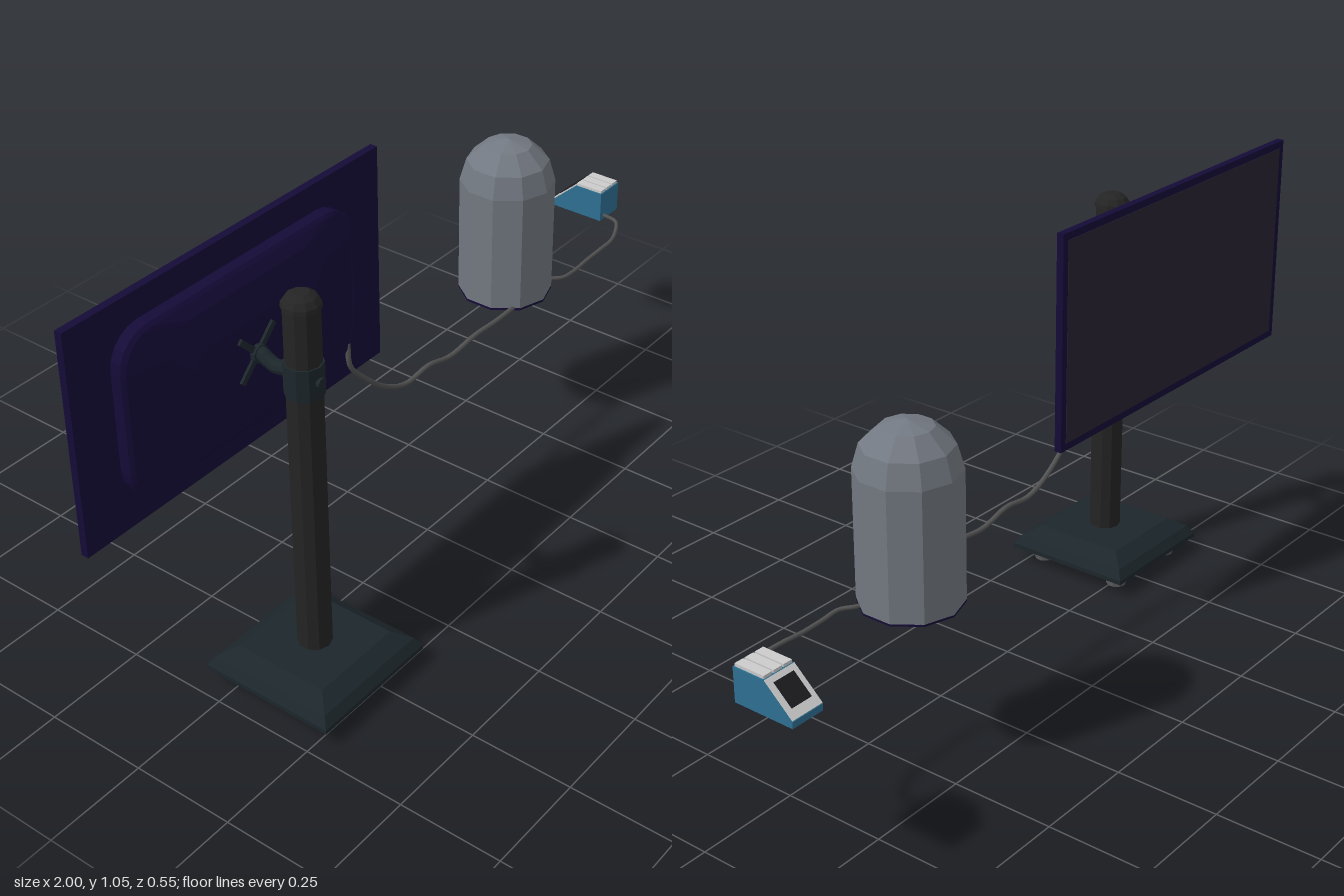
import * as THREE from 'three';

const mat = (color, flatShading = true) =>
  new THREE.MeshStandardMaterial({ color, flatShading, side: THREE.DoubleSide });
const NAVY = mat(0x150b38), SCREEN = mat(0x272333), DARK = mat(0x242424), SLATE = mat(0x1c262b);
const GREY = mat(0x737982), CABLE = mat(0x525252, false), FOOT = mat(0x5a5a5a);
const TEAL = mat(0x2d7093), WHITE = mat(0xc4c6c8), BLACK = mat(0x1c1c20);

function part(parent, name, geometry, material, x = 0, y = 0, z = 0) {
  const mesh = new THREE.Mesh(geometry, material);
  mesh.name = name;
  mesh.position.set(x, y, z);
  parent.add(mesh);
  return mesh;
}
const box = (w, h, d) => new THREE.BoxGeometry(w, h, d);
const lathe = (points, sides) =>
  new THREE.LatheGeometry(points.map(([r, y]) => new THREE.Vector2(r, y)), sides);
function tube(points, radius, segments = 40, sides = 8) {
  const curve = new THREE.CatmullRomCurve3(points.map(p => new THREE.Vector3(...p)), false, 'centripetal');
  return new THREE.TubeGeometry(curve, segments, radius, sides);
}

// Skin over rounded rectangles [halfWidth, halfHeight, cornerRadius, z], capped at the last one
function roundedLoft(sections, steps = 5) {
  const pos = [], index = [], n = 4 * (steps + 1);
  for (const [w, h, r, z] of sections) {
    for (let corner = 0; corner < 4; corner++) {
      const sx = corner === 0 || corner === 3 ? 1 : -1, sy = corner < 2 ? 1 : -1;
      for (let s = 0; s <= steps; s++) {
        const a = (corner + s / steps) * Math.PI / 2;
        pos.push(sx * (w - r) + r * Math.cos(a), sy * (h - r) + r * Math.sin(a), z);
      }
    }
  }
  for (let k = 0; k < sections.length - 1; k++) {
    for (let i = 0; i < n; i++) {
      const a = k * n + i, b = k * n + (i + 1) % n;
      index.push(a, b, b + n, a, b + n, a + n);
    }
  }
  const last = (sections.length - 1) * n;
  for (let i = 1; i < n - 1; i++) index.push(last, last + i, last + i + 1);
  const g = new THREE.BufferGeometry();
  g.setAttribute('position', new THREE.Float32BufferAttribute(pos, 3));
  g.setIndex(index);
  g.computeVertexNormals();
  return g;
}

function createStand() {
  const stand = new THREE.Group();
  stand.name = 'stand';
  stand.position.set(-0.547, 0, 0.106);

  // Square base with sloped shoulders, on four feet
  const q = Math.SQRT2;
  part(stand, 'base', lathe([[0, 0.037], [0.169 * q, 0.037], [0.169 * q, 0.048], [0.154 * q, 0.07],
    [0.117 * q, 0.095], [0, 0.095]], 4).rotateY(Math.PI / 4), SLATE);
  for (const x of [-1, 1]) for (const z of [-1, 1]) {
    part(stand, 'foot', new THREE.CylinderGeometry(0.027, 0.025, 0.04, 10), FOOT, x * 0.107, 0.02, z * 0.114);
  }

  // Post with domed cap
  part(stand, 'post', new THREE.CylinderGeometry(0.039, 0.039, 0.87, 10), DARK, 0, 0.525, 0);
  part(stand, 'postCap', lathe([[0, 0.954], [0.043, 0.954], [0.042, 0.964], [0.033, 0.978],
    [0.018, 0.987], [0, 0.988]], 10), DARK);

  // Clamp around the post, its tightening knob and the curved arm
  part(stand, 'clamp', new THREE.CylinderGeometry(0.043, 0.043, 0.076, 10), SLATE, 0, 0.788, 0);
  part(stand, 'clampKnob', new THREE.CylinderGeometry(0.012, 0.012, 0.012, 10).rotateX(Math.PI / 2),
    SLATE, 0, 0.79, 0.042);
  part(stand, 'arm', tube([[0, 0.79, -0.03], [0, 0.786, -0.055], [0, 0.783, -0.075], [0, 0.79, -0.095],
    [0, 0.797, -0.107], [0, 0.798, -0.126]], 0.016, 14, 10), SLATE);

  // Cross-shaped mounting bracket
  part(stand, 'mountHub', new THREE.CylinderGeometry(0.021, 0.021, 0.012, 10).rotateX(Math.PI / 2),
    SLATE, 0, 0.796, -0.119);
  for (const side of [-1, 1]) {
    part(stand, 'mountArm', box(0.145, 0.014, 0.007), SLATE, 0, 0.796, -0.122).rotation.z = side * Math.PI / 4;
  }
  return stand;
}

function createMonitor() {
  const monitor = new THREE.Group();
  monitor.name = 'monitor';
  const cx = -0.5375, cy = 0.7875;
  part(monitor, 'panel', box(0.925, 0.525, 0.018), NAVY, cx, cy, -0.087);
  part(monitor, 'screen', box(0.889, 0.489, 0.002), SCREEN, cx, cy, -0.0962);
  part(monitor, 'rearHousing', roundedLoft([[0.345, 0.197, 0.08, -0.08], [0.345, 0.197, 0.08, -0.052],
    [0.337, 0.19, 0.078, -0.045], [0.23, 0.165, 0.06, -0.031], [0.175, 0.09, 0.04, -0.019]]), NAVY, -0.546, 0.79, 0);
  return monitor;
}

// Round-topped container with a dark underside
function createTank() {
  const tank = new THREE.Group();
  tank.name = 'tank';
  tank.position.set(0.491, 0, -0.128);
  const R = 0.1165, profile = [[R, 0.41], [R, 0.712]];
  for (let i = 1; i <= 3; i++) {
    const a = i * Math.PI / 6;
    profile.push([R * Math.cos(a), 0.712 + 0.11 * Math.sin(a)]);
  }
  part(tank, 'tankShell', lathe(profile, 10), GREY);
  part(tank, 'tankBottom', new THREE.CylinderGeometry(R, R, 0.006, 10), NAVY, 0, 0.408, 0);
  return tank;
}

// Wedge-shaped control unit: buttons on top, display on the slope
function createController() {
  const unit = new THREE.Group();
  unit.name = 'controller';
  unit.position.x = 0.9585;
  const side = new THREE.Shape([[0.12, 0.405], [0.272, 0.405], [0.272, 0.42], [0.2, 0.485], [0.12, 0.485]]
    .map(p => new THREE.Vector2(...p)));
  part(unit, 'controllerBody', new THREE.ExtrudeGeometry(side, { depth: 0.083, bevelEnabled: false })
    .rotateY(Math.PI / 2).translate(-0.0415, 0, 0), TEAL);
  for (const i of [-1, 0, 1]) {
    part(unit, 'button', box(0.023, 0.008, 0.076), WHITE, i * 0.027, 0.488, -0.161);
  }
  const face = new THREE.Group();
  face.name = 'display';
  face.position.set(0, 0.4525, -0.236);
  face.rotation.x = -0.734;
  part(face, 'displayFrame', box(0.081, 0.004, 0.094), WHITE, 0, 0.001, 0);
  part(face, 'displayScreen', box(0.054, 0.004, 0.06), BLACK, 0, 0.003, 0.004);
  unit.add(face);
  return unit;
}

export function createModel() {
  const model = new THREE.Group();
  model.name = 'monitorSetup';
  model.add(createStand(), createMonitor(), createTank(), createController());

  // Lead along the housing edge, then the loose cables
  part(model, 'monitorLead', tube([[-0.205, 0.948, -0.068], [-0.2, 0.9, -0.062], [-0.2, 0.8, -0.055],
    [-0.205, 0.7, -0.05], [-0.225, 0.636, -0.048]], 0.005, 20), NAVY);
  part(model, 'monitorCable', tube([[-0.225, 0.64, -0.048], [-0.222, 0.58, -0.046], [-0.177, 0.524, -0.046],
    [-0.096, 0.455, -0.046], [-0.02, 0.422, -0.046], [0.064, 0.427, -0.046], [0.15, 0.408, -0.046],
    [0.25, 0.416, -0.046], [0.34, 0.412, -0.046], [0.43, 0.41, -0.05]], 0.006), CABLE);
  part(model, 'controllerCable', tube([[0.54, 0.408, -0.075], [0.585, 0.408, -0.06], [0.615, 0.406, -0.037],
    [0.664, 0.402, -0.035], [0.73, 0.403, -0.038], [0.787, 0.406, -0.037], [0.85, 0.407, -0.04],
    [0.91, 0.41, -0.064], [0.935, 0.41, -0.085], [0.935, 0.415, -0.122]], 0.005), CABLE);
  return model;
}
